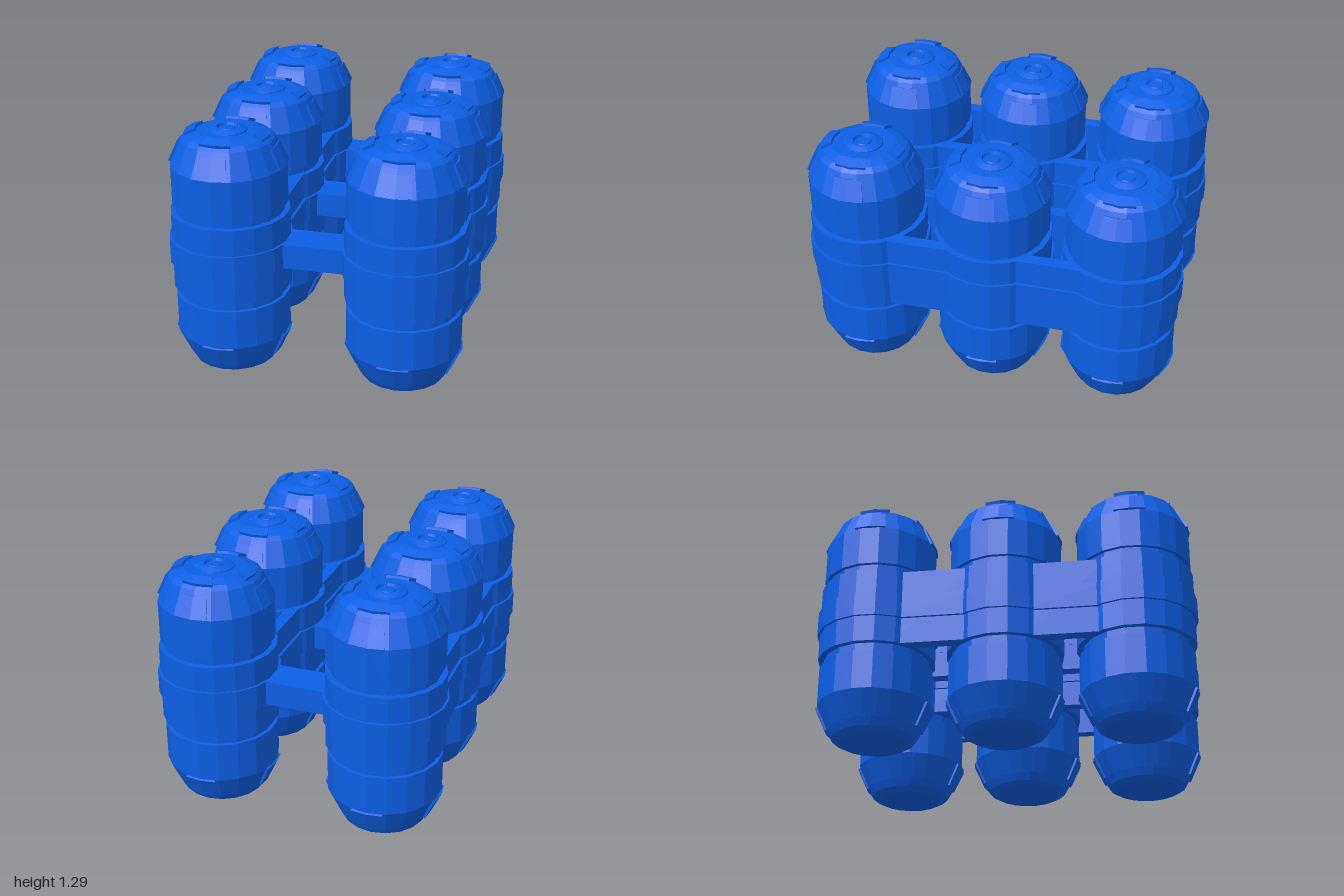
import * as THREE from 'three';

const SIDES = 18;
const TANK_X = 0.455;
const TANK_Z = 0.68;
const blue = new THREE.MeshStandardMaterial({ color: 0x0d5fe6, flatShading: true });

function add(parent, name, geometry, x = 0, y = 0, z = 0) {
  const mesh = new THREE.Mesh(geometry, blue);
  mesh.name = name;
  mesh.position.set(x, y, z);
  parent.add(mesh);
  return mesh;
}

const lathe = (points) =>
  new THREE.LatheGeometry(points.map(([r, y]) => new THREE.Vector2(r, y)), SIDES);

// Raised plate wrapped on a cone from (r0, y0) up to (r1, y1), spanning an angle
function plate([r0, y0], [r1, y1], angle, thickness) {
  const geometry = new THREE.BoxGeometry(1, 1, 1, 2, 1, 1);
  const p = geometry.attributes.position;
  const length = Math.hypot(r1 - r0, y1 - y0);
  const nr = (y1 - y0) / length, ny = (r0 - r1) / length;
  for (let i = 0; i < p.count; i++) {
    const t = p.getY(i) + 0.5, a = p.getX(i) * angle, out = p.getZ(i) * thickness;
    const r = r0 + (r1 - r0) * t + nr * out;
    p.setXYZ(i, Math.sin(a) * r, y0 + (y1 - y0) * t + ny * out, Math.cos(a) * r);
  }
  geometry.computeVertexNormals();
  return geometry;
}

// Tank shell: chamfered base, two grooves at the band, domed shoulder
const shell = lathe([
  [0, 0], [0.175, 0], [0.215, 0.022], [0.238, 0.062], [0.297, 0.19], [0.297, 0.4],
  [0.277, 0.4], [0.277, 0.895], [0.297, 0.895], [0.297, 1.105], [0.236, 1.235],
  [0.208, 1.255], [0.16, 1.272], [0.1, 1.272],
]);

// Raised ring and button in the middle of the lid
const cap = lathe([
  [0.1, 1.265], [0.097, 1.277], [0.065, 1.29], [0.055, 1.29], [0.05, 1.276],
  [0.04, 1.276], [0.035, 1.285], [0, 1.285],
]);

// Wide band with a thicker strip around its middle
const band = lathe([
  [0.27, 0.445], [0.307, 0.445], [0.307, 0.585], [0.32, 0.585],
  [0.32, 0.715], [0.307, 0.715], [0.307, 0.853], [0.27, 0.853],
]);

const plates = {
  lowerPlate: plate([0.241, 0.068], [0.297, 0.188], 0.55, 0.018),
  shoulderPlate: plate([0.296, 1.108], [0.248, 1.21], 0.55, 0.018),
  lidPlate: plate([0.218, 1.254], [0.162, 1.274], 0.75, 0.022),
};

function makeTank() {
  const tank = new THREE.Group();
  tank.name = 'tank';
  add(tank, 'tankShell', shell);
  add(tank, 'tankCap', cap);
  add(tank, 'tankBand', band);
  for (let i = 0; i < 4; i++) {
    for (const [name, geometry] of Object.entries(plates)) {
      add(tank, name, geometry).rotation.y = (i * Math.PI) / 2;
    }
  }
  return tank;
}

export function createModel() {
  const model = new THREE.Group();
  model.name = 'tankRack';

  // Two columns of three tanks
  for (const x of [-TANK_X, TANK_X]) {
    for (const z of [-TANK_Z, 0, TANK_Z]) {
      const tank = makeTank();
      tank.position.set(x, 0, z);
      model.add(tank);
    }
    // Straps on both sides of a column, each with a thicker middle strip
    for (const side of [-1, 1]) {
      for (const z of [-TANK_Z / 2, TANK_Z / 2]) {
        add(model, 'strap', new THREE.BoxGeometry(0.066, 0.408, 0.42), x + side * 0.213, 0.649, z);
        add(model, 'strapStrip', new THREE.BoxGeometry(0.082, 0.13, 0.42), x + side * 0.219, 0.65, z);
      }
    }
  }

  // Bars joining the two columns
  for (const z of [-TANK_Z, 0, TANK_Z]) {
    add(model, 'crossBar', new THREE.BoxGeometry(0.36, 0.13, 0.195), 0, 0.65, z);
  }
  return model;
}
